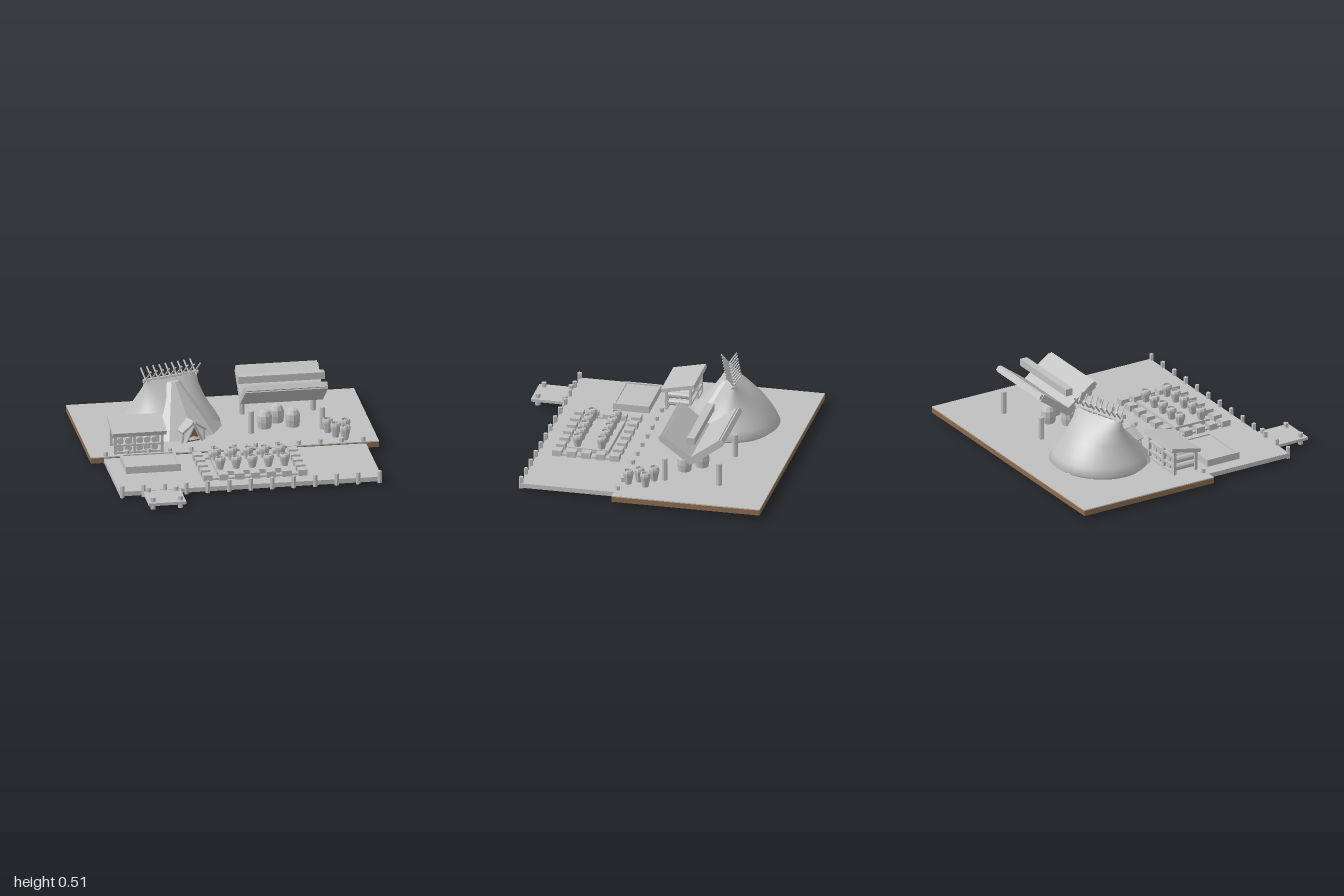
import * as THREE from 'three';

const grey = new THREE.MeshStandardMaterial({ color: 0xc0c0c0, side: THREE.DoubleSide });
grey.name = 'plainGrey';
const brown = new THREE.MeshStandardMaterial({ color: 0x8b6b4a });
brown.name = 'earthBrown';

function flat(geo) {
  const g = geo.index ? geo.toNonIndexed() : geo;
  g.computeVertexNormals();
  return g;
}

function add(parent, name, geo, x, y, z, mat = grey) {
  const m = new THREE.Mesh(geo, mat);
  m.name = name;
  m.position.set(x, y, z);
  parent.add(m);
  return m;
}

// Box given by its x, y and z ranges
function span(parent, name, x0, x1, y0, y1, z0, z1, mat = grey) {
  return add(parent, name, new THREE.BoxGeometry(x1 - x0, y1 - y0, z1 - z0),
    (x0 + x1) / 2, (y0 + y1) / 2, (z0 + z1) / 2, mat);
}

// Straight round stick between two points
function stick(parent, name, a, b, r, sides = 6, mat = grey) {
  const p = new THREE.Vector3(...a), q = new THREE.Vector3(...b), d = q.clone().sub(p);
  const m = add(parent, name, flat(new THREE.CylinderGeometry(r, r, d.length(), sides)),
    (p.x + q.x) / 2, (p.y + q.y) / 2, (p.z + q.z) / 2, mat);
  m.quaternion.setFromUnitVectors(new THREE.Vector3(0, 1, 0), d.normalize());
}

function lathe(points, sides) {
  return new THREE.LatheGeometry(points.map(p => new THREE.Vector2(...p)), sides);
}

function buildGround(root) {
  span(root, 'groundBase', -1, 1, 0.025, 0.062, -0.98, 0.06, brown);
  span(root, 'groundTop', -1, 1, 0.062, 0.07, -0.98, 0.06);
  span(root, 'deck', -0.91, 0.91, 0.025, 0.057, 0.06, 0.72);
  const post = flat(new THREE.CylinderGeometry(0.016, 0.016, 0.085, 5));
  for (let i = 0; i < 13; i++)
    for (const z of [0.04, 0.72]) add(root, 'deckPost', post, -0.896 + i * 0.149, 0.058, z);

  // Landing stage
  span(root, 'landing', -0.75, -0.49, 0.035, 0.055, 0.72, 0.97);
  const pile = flat(new THREE.CylinderGeometry(0.018, 0.018, 0.085, 6));
  for (const x of [-0.715, -0.525])
    for (const z of [0.74, 0.93]) add(root, 'landingPile', pile, x, 0.0425, z);
}

function buildHut(root) {
  const hut = new THREE.Group();
  hut.name = 'hut';
  hut.position.set(-0.36, 0, -0.47);
  hut.rotation.y = 0.31;
  root.add(hut);

  // Smooth shell: round at the foot, drawn out to a narrow ridge at the top
  const rows = [ // height, half length, back depth, front depth
    [0.07, 0.325, 0.3, 0.3], [0.095, 0.35, 0.335, 0.31], [0.15, 0.32, 0.31, 0.27],
    [0.2, 0.285, 0.28, 0.225], [0.28, 0.24, 0.22, 0.155], [0.36, 0.21, 0.135, 0.085],
    [0.43, 0.2, 0.035, 0.02]];
  const shell = lathe(rows.map(r => [r[1], r[0]]), 40);
  const p = shell.attributes.position;
  for (let i = 0; i < p.count; i++) {
    const r = rows[i % rows.length], z = p.getZ(i);
    p.setZ(i, z / r[1] * (z < 0 ? r[2] : r[3]));
  }
  shell.computeVertexNormals();
  add(hut, 'hutShell', shell, 0, 0, 0);

  // Faceted front cone
  add(hut, 'hutCone', flat(new THREE.CylinderGeometry(0.05, 0.345, 0.325, 12)), 0, 0.2475, 0.02);

  // Ridge pole with crossed sticks
  stick(hut, 'ridgePole', [-0.21, 0.43, 0], [0.21, 0.43, 0], 0.014, 8);
  for (let i = 0; i < 9; i++) {
    const x = -0.19 + i * 0.0475;
    for (const s of [-1, 1])
      stick(hut, 'ridgeStick', [x, 0.415, -s * 0.02], [x + s * 0.012, 0.51, s * 0.055], 0.006);
  }

  // Gabled entrance
  const door = new THREE.Group();
  door.name = 'entrance';
  door.position.set(0, 0.07, 0.31);
  hut.add(door);
  const tri = new THREE.Shape([[-0.05, 0], [0.05, 0], [0, 0.11]].map(q => new THREE.Vector2(...q)));
  add(door, 'doorway', new THREE.ShapeGeometry(tri), 0, 0, 0.035, brown);
  for (const s of [-1, 1]) {
    const flap = add(door, 'entranceRoof', new THREE.BoxGeometry(0.11, 0.014, 0.11), s * 0.045, 0.105, -0.005);
    flap.rotation.z = -s * 0.6;
    stick(door, 'doorPole', [s * 0.062, 0, 0.045], [-s * 0.012, 0.145, 0.045], 0.009);
    stick(door, 'doorStay', [s * 0.085, 0, 0.03], [s * 0.075, 0.085, 0.03], 0.009);
  }
}

function buildPavilion(root) {
  const g = new THREE.Group();
  g.name = 'pavilion';
  root.add(g);
  // Two roof slabs forming a valley
  for (const s of [-1, 1]) {
    const slab = add(g, 'roofSlab', new THREE.BoxGeometry(0.575, 0.05, 0.27), 0.4025, 0.315, -0.425 + s * 0.1);
    slab.rotation.x = -s * 0.64;
    const lip = add(g, 'roofLip', new THREE.BoxGeometry(0.565, 0.035, 0.02), 0.4025, 0.315, -0.425 + s * 0.1);
    lip.rotation.x = -s * 0.64;
    lip.translateZ(s * 0.143);
  }
  span(g, 'roofBeam', 0.1, 0.7, 0.37, 0.42, -0.455, -0.4);
  for (const x of [0.16, 0.655])
    for (const z of [-0.235, -0.615])
      add(g, 'pavilionPost', flat(new THREE.CylinderGeometry(0.02, 0.02, 0.16, 8)), x, 0.15, z);

  // Domed ovens in the shade
  const dome = flat(lathe([[0.046, 0], [0.053, 0.05], [0.05, 0.09], [0.035, 0.12], [0, 0.132]], 10));
  for (const [x, z] of [[0.27, -0.33], [0.37, -0.43], [0.465, -0.33]]) add(g, 'dome', dome, x, 0.07, z);
}

function buildPots(root) {
  const pot = flat(lathe([[0, 0], [0.022, 0], [0.037, 0.06], [0.037, 0.072], [0.032, 0.085],
    [0.026, 0.085], [0.026, 0.072], [0, 0.072]], 8));
  // Table with two rows of pots
  span(root, 'potTable', -0.2, 0.31, 0.055, 0.088, 0.24, 0.52);
  for (let i = 0; i < 5; i++)
    for (const z of [0.295, 0.465]) add(root, 'tablePot', pot, -0.172 + i * 0.112, 0.087, z);

  // Ring of seats joined by a low rail
  const seat = new THREE.BoxGeometry(0.064, 0.043, 0.064);
  for (let i = 0; i < 7; i++)
    for (let j = 0; j < 5; j++)
      if (i % 6 === 0 || j % 4 === 0) add(root, 'seat', seat, -0.28 + i * 0.11, 0.078, 0.177 + j * 0.101);
  for (const z of [0.177, 0.581]) span(root, 'seatRail', -0.28, 0.38, 0.055, 0.07, z - 0.015, z + 0.015);
  for (const x of [-0.28, 0.38]) span(root, 'seatRail', x - 0.015, x + 0.015, 0.055, 0.07, 0.177, 0.581);

  // Loose pots beside the pavilion
  for (const [x, z] of [[0.68, -0.165], [0.795, -0.13], [0.72, -0.07], [0.775, -0.005]])
    add(root, 'loosePot', pot, x, 0.07, z).scale.y = 1.2;
}

function buildShed(root) {
  const g = new THREE.Group();
  g.name = 'shed';
  root.add(g);
  const roof = add(g, 'shedRoof', new THREE.BoxGeometry(0.375, 0.028, 0.235), -0.66, 0.24, -0.067);
  roof.rotation.x = 0.21;
  // Rack frame
  for (const x of [-0.825, -0.69, -0.5])
    for (const z of [-0.15, 0.02]) span(g, 'shedPost', x - 0.009, x + 0.009, 0.07, z < 0 ? 0.25 : 0.215, z - 0.009, z + 0.009);
  for (const y of [0.08, 0.132, 0.2]) 
    for (const z of [-0.15, 0.02]) span(g, 'shedRail', -0.835, -0.49, y - 0.007, y + 0.007, z - 0.01, z + 0.01);
  // Barrels lying in two rows
  const barrel = flat(new THREE.CylinderGeometry(0.024, 0.024, 0.16, 10));
  for (const x of [-0.79, -0.733, -0.655, -0.603, -0.551])
    for (const y of [0.106, 0.16]) add(g, 'barrel', barrel, x, y, -0.062).rotation.x = Math.PI / 2;

  // Shallow tray on the deck
  span(root, 'tray', -0.81, -0.43, 0.055, 0.098, 0.125, 0.38);
  for (const z of [0.133, 0.372]) span(root, 'trayRim', -0.81, -0.43, 0.098, 0.107, z - 0.008, z + 0.008);
  for (const x of [-0.802, -0.438]) span(root, 'trayRim', x - 0.008, x + 0.008, 0.098, 0.107, 0.141, 0.364);
}

export function createModel() {
  const root = new THREE.Group();
  root.name = 'lakesideCamp';
  buildGround(root);
  buildHut(root);
  buildPavilion(root);
  buildPots(root);
  buildShed(root);
  return root;
}
